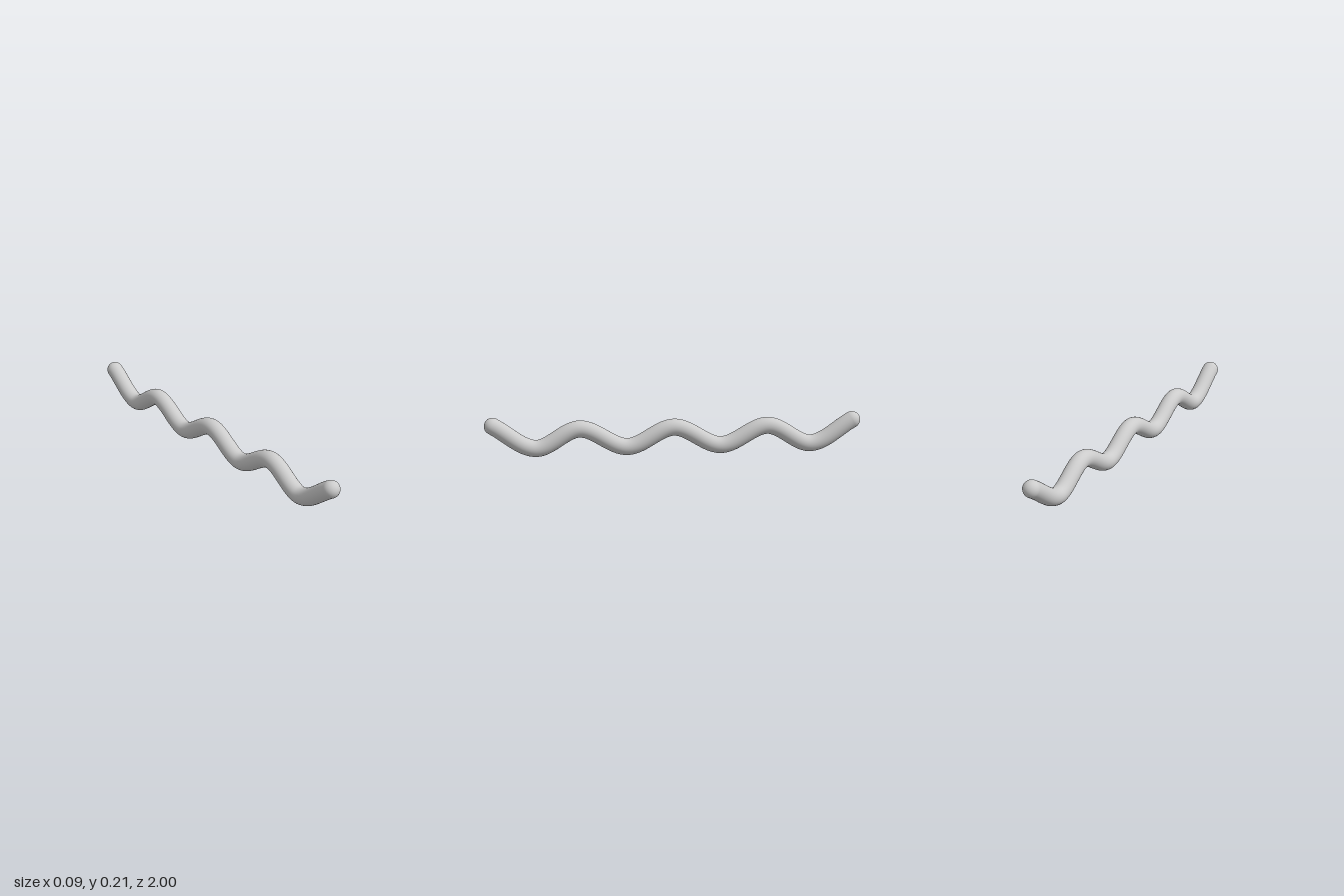
import * as THREE from 'three';

export function createModel() {
  const group = new THREE.Group();
  const material = new THREE.MeshStandardMaterial({ color: 0xcccccc });
  const radius = 0.045;

  // Centre line of one half as [z, y], mirrored to the back
  const half = [[0.25, 0.046], [0.5, 0.147], [0.735, 0.046], [0.955, 0.17]];
  const line = [...half.map(([z, y]) => [-z, y]).reverse(), [0, 0.147], ...half];
  const path = new THREE.CatmullRomCurve3(line.map(([z, y]) => new THREE.Vector3(0, y, z)));

  // Wavy round rod
  const rod = new THREE.Mesh(new THREE.TubeGeometry(path, 160, radius, 32), material);
  rod.name = 'wavyRod';
  group.add(rod);

  // Rounded ends, each dome turned along the rod
  const up = new THREE.Vector3(0, 1, 0);
  for (const [name, t, sign] of [['backEnd', 0, -1], ['frontEnd', 1, 1]]) {
    const dome = new THREE.Mesh(
      new THREE.SphereGeometry(radius, 32, 12, 0, Math.PI * 2, 0, Math.PI / 2), material);
    dome.position.copy(path.getPointAt(t));
    dome.quaternion.setFromUnitVectors(up, path.getTangentAt(t).multiplyScalar(sign));
    dome.name = name;
    group.add(dome);
  }
  return group;
}
